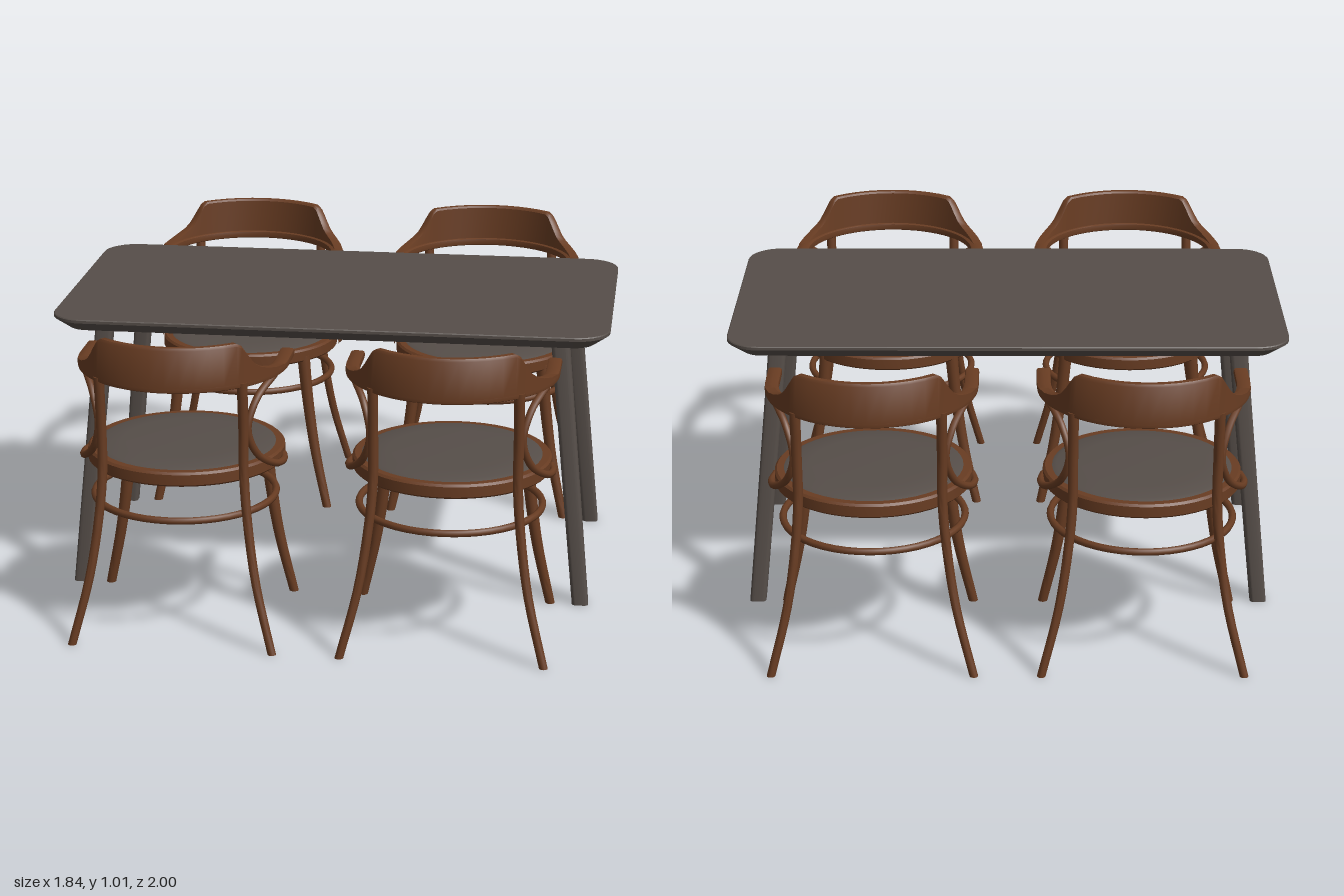
import * as THREE from 'three';
import { toCreasedNormals } from 'three/addons/utils/BufferGeometryUtils.js';

const wood = new THREE.MeshStandardMaterial({ color: 0x683c22 });
wood.name = 'bentwood brown';
const grey = new THREE.MeshStandardMaterial({ color: 0x564e49 });
grey.name = 'warm grey';

function add(group, name, geometry, material) {
  const mesh = new THREE.Mesh(geometry, material);
  mesh.name = name;
  group.add(mesh);
  return mesh;
}

// Skin closed cross-sections (arrays of [x, y, z]) and cap both ends
function loft(sections, crease = 0.6) {
  const n = sections[0].length, index = [];
  for (let i = 0; i < sections.length - 1; i++) {
    for (let j = 0; j < n; j++) {
      const k = (j + 1) % n;
      const a = i * n + j, b = i * n + k, c = b + n, d = a + n;
      index.push(a, b, d, b, c, d);
    }
  }
  const last = (sections.length - 1) * n;
  for (let j = 1; j < n - 1; j++) {
    index.push(0, j + 1, j, last, last + j, last + j + 1);
  }
  const geo = new THREE.BufferGeometry();
  geo.setAttribute('position', new THREE.Float32BufferAttribute(sections.flat(2), 3));
  geo.setIndex(index);
  return toCreasedNormals(geo, crease);
}

// Horizontal rounded rectangle centred on (cx, cz)
function roundedRect(hx, hz, r, y, cx = 0, cz = 0, steps = 8) {
  const pts = [];
  [[1, 1], [-1, 1], [-1, -1], [1, -1]].forEach(([sx, sz], q) => {
    for (let i = 0; i <= steps; i++) {
      const a = (q + i / steps) * Math.PI / 2;
      pts.push([cx + sx * (hx - r) + r * Math.cos(a), y, cz + sz * (hz - r) + r * Math.sin(a)]);
    }
  });
  return pts;
}

const curveOf = pts => new THREE.CatmullRomCurve3(pts.map(p => new THREE.Vector3(...p)));

// Tapering round leg along a path running from top to floor
function legGeometry(points, rTop, rBottom) {
  const curve = curveOf(points), sections = [];
  for (let i = 0; i <= 20; i++) {
    const p = curve.getPoint(i / 20), r = rTop + (rBottom - rTop) * i / 20, ring = [];
    for (let j = 0; j < 12; j++) {
      const a = j / 12 * Math.PI * 2;
      ring.push([p.x + r * Math.cos(a), p.y, p.z + r * Math.sin(a)]);
    }
    sections.push(ring);
  }
  return loft(sections, 0.9);
}

function createTable() {
  const table = new THREE.Group();
  table.name = 'table';
  // top with an undercut edge
  add(table, 'tableTop', loft([
    roundedRect(0.917, 0.497, 0.11, 0.95),
    roundedRect(0.92, 0.5, 0.113, 0.947),
    roundedRect(0.92, 0.5, 0.113, 0.938),
    roundedRect(0.87, 0.452, 0.07, 0.902),
  ], 0.4), grey);
  // splayed legs
  for (const sx of [-1, 1]) for (const sz of [-1, 1]) {
    add(table, 'tableLeg', loft([
      roundedRect(0.03, 0.028, 0.014, 0.904, sx * 0.757, sz * 0.35, 4),
      roundedRect(0.027, 0.026, 0.013, 0, sx * 0.848, sz * 0.403, 4),
    ], 0.5), grey);
  }
  return table;
}

// Chair with its back toward +z; origin under the centre of the arm rail
function createChair() {
  const chair = new THREE.Group();
  chair.name = 'chair';
  const seatZ = -0.018;

  // seat frame with recessed underside
  const frame = [[0, 0.562], [0.285, 0.562], [0.287, 0.55], [0.314, 0.55], [0.32, 0.556],
    [0.32, 0.59], [0.313, 0.597], [0.29, 0.597], [0.286, 0.588]];
  const lathe = pts => toCreasedNormals(
    new THREE.LatheGeometry(pts.map(p => new THREE.Vector2(...p)), 48), 0.6);
  add(chair, 'seatFrame', lathe(frame), wood).position.z = seatZ;
  // padded seat
  const pad = [[0.291, 0.588], [0.29, 0.597], [0.275, 0.603], [0.2, 0.607], [0, 0.609]];
  add(chair, 'seatCushion', lathe(pad), grey).position.z = seatZ;

  // stretcher ring
  const ring = add(chair, 'stretcherRing', new THREE.TorusGeometry(0.295, 0.012, 8, 48), wood);
  ring.rotation.x = Math.PI / 2;
  ring.position.set(0, 0.44, 0.015);

  // arm rail: half circle with short straight ends
  const stations = [[1, 0, -0.115], [1, 0, -0.06]];
  for (let i = 0; i <= 32; i++) {
    const a = i / 32 * Math.PI;
    stations.push([Math.cos(a), Math.sin(a), 0]);
  }
  stations.push([-1, 0, -0.06], [-1, 0, -0.115]);
  const rail = stations.map(([dx, dz, shift]) => {
    const section = [];
    for (let j = 0; j < 12; j++) {
      const a = j / 12 * Math.PI * 2, c = Math.cos(a), s = Math.sin(a);
      const r = 0.318 + 0.023 * Math.sign(c) * Math.sqrt(Math.abs(c));
      const y = 0.882 + 0.014 * Math.sign(s) * Math.sqrt(Math.abs(s));
      section.push([dx * r, y, dz * r + shift]);
    }
    return section;
  });
  add(chair, 'armRail', loft(rail, 0.7), wood);

  // curved backrest, height falling off towards the arms
  const half = [[80, 0], [70, 0.06], [62, 0.15], [56, 0.25], [52, 0.37], [48.5, 0.56],
    [45.5, 0.76], [43, 0.92], [40, 1]];
  const profile = [...half];
  for (let a = 32; a >= -32; a -= 8) profile.push([a, 1]);
  profile.push(...half.slice().reverse().map(([a, h]) => [-a, h]));
  const back = profile.map(([deg, h]) => {
    const a = deg * Math.PI / 180, top = 0.895 + 0.12 * h;
    return [[0.341, 0.885], [0.34, top - 0.008 * h], [0.334, top], [0.316, top],
      [0.31, top - 0.006 * h], [0.304, 0.885]]
      .map(([r, y]) => [Math.sin(a) * r, y, Math.cos(a) * r]);
  });
  add(chair, 'backrest', loft(back, 0.7), wood);

  for (const s of [-1, 1]) {
    // rear leg rising to the rail
    add(chair, 'rearLeg', legGeometry([[s * 0.228, 0.885, 0.238], [s * 0.228, 0.72, 0.222],
      [s * 0.228, 0.57, 0.222], [s * 0.24, 0.42, 0.238], [s * 0.27, 0.22, 0.268],
      [s * 0.325, 0, 0.307]], 0.017, 0.014), wood);
    // front leg below the seat
    add(chair, 'frontLeg', legGeometry([[s * 0.226, 0.57, -0.215], [s * 0.24, 0.42, -0.217],
      [s * 0.268, 0.22, -0.225], [s * 0.315, 0, -0.245]], 0.023, 0.016), wood);
    // bent loop between arm and seat
    const loop = curveOf([[s * 0.32, 0.877, -0.005], [s * 0.305, 0.866, 0.085],
      [s * 0.262, 0.81, 0.175], [s * 0.24, 0.72, 0.208], [s * 0.265, 0.63, 0.178],
      [s * 0.312, 0.577, 0.105], [s * 0.327, 0.567, 0.04], [s * 0.318, 0.566, -0.02]]);
    add(chair, 'armLoop', new THREE.TubeGeometry(loop, 40, 0.012, 8), wood);
  }
  return chair;
}

export function createModel() {
  const model = new THREE.Group();
  model.name = 'diningSet';
  model.add(createTable());
  // two chairs along each long side
  for (const x of [-0.433, 0.433]) for (const side of [1, -1]) {
    const chair = createChair();
    chair.position.set(x, 0, side * 0.657);
    if (side < 0) chair.rotation.y = Math.PI;
    model.add(chair);
  }
  return model;
}
